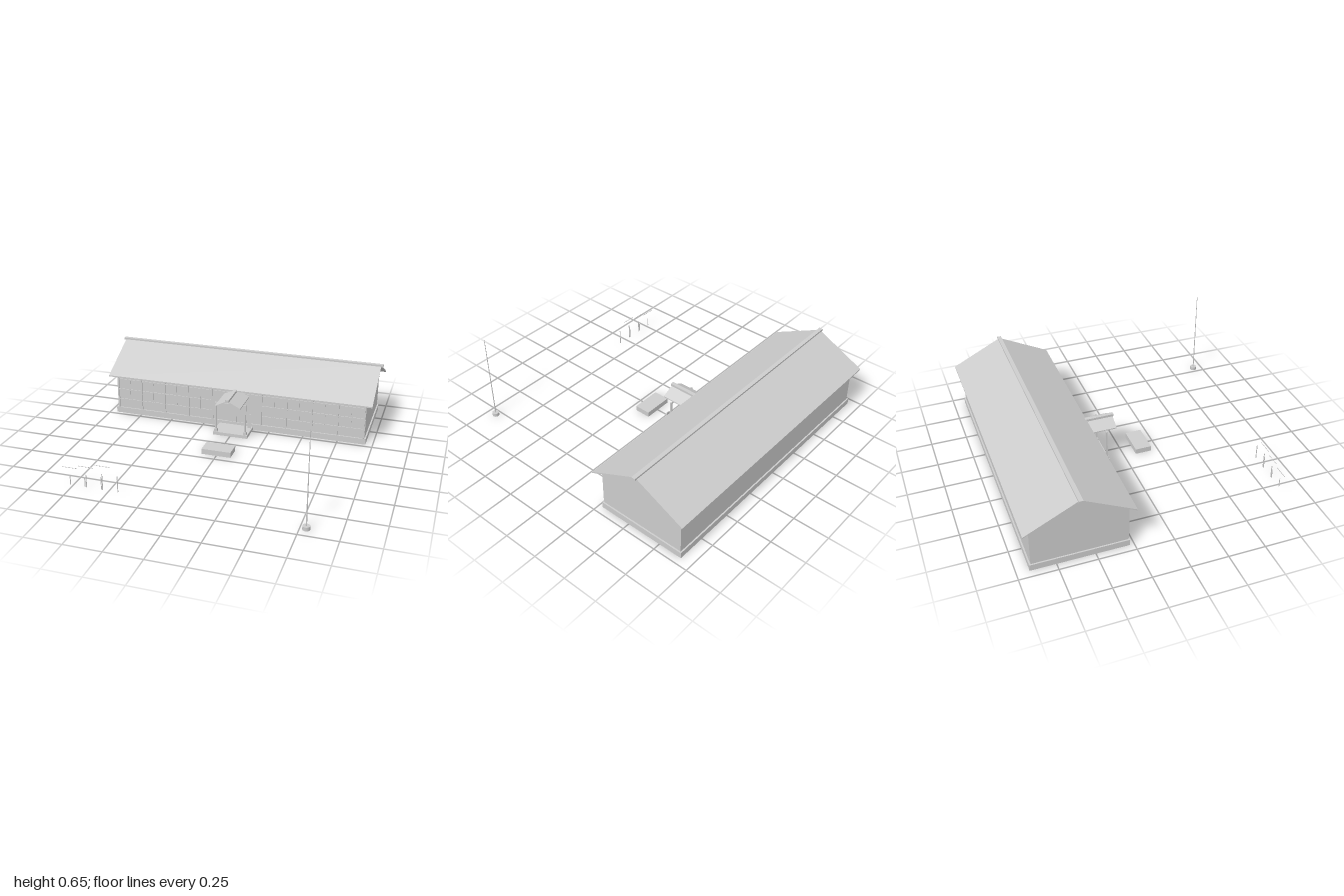
import * as THREE from 'three';

export function createModel() {
  const model = new THREE.Group();
  const grey = new THREE.MeshStandardMaterial({ color: 0xcccccc });
  grey.name = 'plain grey';

  const add = (name, geometry, x = 0, y = 0, z = 0, parent = model) => {
    const mesh = new THREE.Mesh(geometry, grey);
    mesh.name = name;
    mesh.position.set(x, y, z);
    parent.add(mesh);
    return mesh;
  };
  // Box given by its min and max along each axis
  const box = (name, x0, x1, y0, y1, z0, z1, parent) =>
    add(name, new THREE.BoxGeometry(x1 - x0, y1 - y0, z1 - z0),
      (x0 + x1) / 2, (y0 + y1) / 2, (z0 + z1) / 2, parent);
  // Outline extruded along z and centred on it
  const prism = (points, depth) => {
    const shape = new THREE.Shape(points.map(([x, y]) => new THREE.Vector2(x, y)));
    return new THREE.ExtrudeGeometry(shape, { depth, bevelEnabled: false }).translate(0, 0, -depth / 2);
  };
  // Thin pitched roof outline
  const chevron = (half, eave, ridge, t) => [
    [-half, eave], [-half, eave - t], [0, ridge - t], [half, eave - t], [half, eave], [0, ridge],
  ];

  const mid = -0.598; // ridge line of the main building
  const front = -0.288; // front wall plane

  // Main building
  box('plinth', -0.95, 0.95, 0, 0.043, -0.918, -0.278);
  box('walls', -0.94, 0.94, 0.043, 0.302, -0.908, front);
  add('gables', prism([[-0.31, 0.302], [0.31, 0.302], [0.31, 0.316], [0, 0.474], [-0.31, 0.316]], 1.88), 0, 0, mid)
    .rotation.y = Math.PI / 2;
  add('roof', prism(chevron(0.355, 0.309, 0.486, 0.009), 1.97), 0, 0, mid).rotation.y = Math.PI / 2;
  box('ridgeCap', -1, 1, 0.476, 0.491, mid - 0.014, mid + 0.014);

  // Window front: posts, mullions and rails on both sides of the entrance
  const windows = new THREE.Group();
  windows.name = 'windowFront';
  model.add(windows);
  for (const s of [-1, 1]) {
    for (let i = 1; i <= 5; i++) {
      const x = s * i * 0.186;
      box('windowPost', x - 0.006, x + 0.006, 0.043, 0.302, front, -0.279, windows);
      if (i < 5) {
        const m = x + s * 0.093;
        box('mullion', m - 0.003, m + 0.003, 0.11, 0.27, front, -0.283, windows);
        for (const y of [0.11, 0.19, 0.27])
          box('rail', m - 0.087, m + 0.087, y - 0.004, y + 0.004, front, -0.282, windows);
      }
    }
  }

  // Entrance
  box('door', -0.075, 0.075, 0.043, 0.21, front, -0.284);
  box('doorDivider', -0.003, 0.003, 0.043, 0.21, front, -0.282);
  box('entranceBeam', -0.18, 0.18, 0.266, 0.274, front, -0.282);

  // Porch
  box('porchSlab', -0.128, 0.128, 0, 0.023, -0.52, -0.118);
  for (const x of [-0.109, 0.109]) {
    box('porchPostBase', x - 0.011, x + 0.011, 0.023, 0.043, -0.145, -0.123);
    box('porchPost', x - 0.006, x + 0.006, 0.043, 0.25, -0.14, -0.128);
  }
  box('porchBeam', -0.115, 0.115, 0.24, 0.25, -0.139, -0.129);
  add('porchRoof', prism(chevron(0.094, 0.256, 0.303, 0.008), 0.233), 0, 0, -0.1715);
  box('porchRidge', -0.013, 0.013, 0.296, 0.313, -0.36, -0.048);
  box('signBoard', 0.13, 0.153, 0.082, 0.187, -0.134, -0.129);

  // Low platform in the yard
  box('platform', -0.107, 0.102, 0, 0.038, 0.084, 0.198);

  // Flagpole
  add('flagpoleBase', new THREE.CylinderGeometry(0.024, 0.024, 0.025, 16), 0.79, 0.0125, 0.929);
  add('flagpole', new THREE.CylinderGeometry(0.002, 0.004, 0.625, 10), 0.79, 0.3375, 0.929);

  // Three exercise bars of rising height
  const posts = [[-0.77, 0.066], [-0.667, 0.066], [-0.657, 0.09], [-0.553, 0.09], [-0.545, 0.112], [-0.44, 0.112]];
  for (const [x, h] of posts)
    add('exercisePost', new THREE.CylinderGeometry(0.003, 0.003, h, 8), x, h / 2, 0.858);
  for (const [x, y] of [[-0.771, 0.123], [-0.655, 0.145], [-0.541, 0.168]])
    add('exerciseBar', new THREE.CylinderGeometry(0.002, 0.002, 0.102, 8), x, y, 0.858).rotation.z = Math.PI / 2;

  return model;
}
